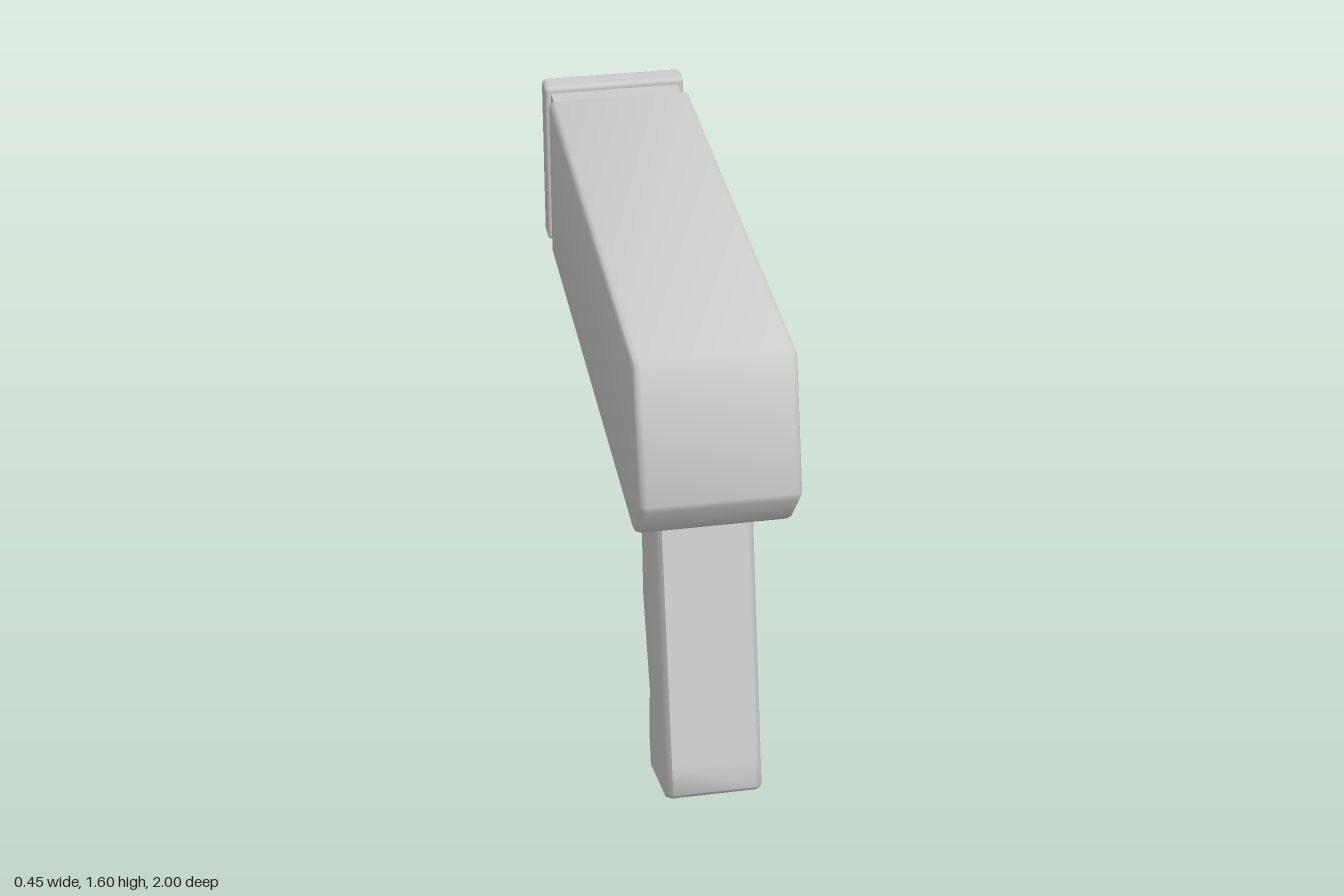
import * as THREE from 'three';
import { toCreasedNormals } from 'three/addons/utils/BufferGeometryUtils.js';
import { RoundedBoxGeometry } from 'three/addons/geometries/RoundedBoxGeometry.js';

const grey = new THREE.MeshStandardMaterial({ color: 0xcccccc });

function part(group, name, geometry) {
  const mesh = new THREE.Mesh(geometry, grey);
  mesh.name = name;
  group.add(mesh);
  return mesh;
}

// Side profile (z, y) extruded across x with softened edges and a flat tail end.
function bodyGeometry() {
  const tail = -0.74, bevel = 0.02, half = 0.225;
  const profile = [
    [tail - 0.04, 1.055], [0.873, 1.055], [0.893, 1.068], [0.995, 1.2], [1.0, 1.222],
    [0.892, 1.585], [0.87, 1.605], [tail - 0.04, 1.605],
  ].map(([z, y]) => new THREE.Vector2(z, y));
  const geo = new THREE.ExtrudeGeometry(new THREE.Shape(profile), {
    depth: 2 * (half - bevel), bevelThickness: bevel, bevelSize: bevel,
    bevelOffset: -bevel, bevelSegments: 2,
  });
  geo.translate(0, 0, -(half - bevel)).rotateY(-Math.PI / 2);
  const pos = geo.attributes.position;
  for (let i = 0; i < pos.count; i++) pos.setZ(i, Math.max(pos.getZ(i), tail));
  return toCreasedNormals(geo, 0.9);
}

// Tilted eight-sided rings, each starting at a point (z, y) of the finger side
// and reaching to the straight palm side.
function gripGeometry() {
  const fingerSide = [
    [0.25, 1.15], [0.27, 1.055], [0.285, 0.985], [0.365, 0.845], [0.39, 0.55],
    [0.505, 0.28], [0.495, 0.11], [0.517, 0.02], [0.52, 0.004],
  ];
  const slope = 0.34, lean = 0.247, n = 8;
  const verts = [], index = [];
  fingerSide.forEach(([z, y], r) => {
    let reach = (0.745 + lean * (1.055 - y) - z) / (1 + slope * lean);
    if (r === fingerSide.length - 1) reach -= 0.018;
    const side = [[0.07, 0], [0.142, 0.15], [0.142, reach - 0.02], [0.125, reach]];
    const ring = [...side, ...side.map(([x, t]) => [-x, t]).reverse()];
    for (const [x, t] of ring) verts.push(x, y + slope * t, z + t);
  });
  for (let r = 0; r < fingerSide.length - 1; r++) {
    for (let i = 0; i < n; i++) {
      const a = r * n + i, b = r * n + (i + 1) % n;
      index.push(a, b, a + n, b, b + n, a + n);
    }
  }
  // flat ends
  const last = (fingerSide.length - 1) * n;
  for (let i = 1; i < n - 1; i++) {
    index.push(0, i + 1, i, last, last + i, last + i + 1);
  }
  // the rings run from the finger side round +x, so flip to face outward
  for (let i = 0; i < index.length; i += 3) {
    [index[i + 1], index[i + 2]] = [index[i + 2], index[i + 1]];
  }
  const geo = new THREE.BufferGeometry();
  geo.setAttribute('position', new THREE.Float32BufferAttribute(verts, 3));
  geo.setIndex(index);
  // make sure the winding points outward
  const p = geo.attributes.position, v = [0, 1, 2].map(() => new THREE.Vector3());
  let volume = 0;
  for (let i = 0; i < index.length; i += 3) {
    v.forEach((q, k) => q.fromBufferAttribute(p, index[i + k]));
    volume += v[0].dot(v[1].clone().cross(v[2]));
  }
  if (volume < 0) geo.setIndex(index.reverse());
  return toCreasedNormals(geo, 0.87);
}

// Box whose rear end (-z) is narrowed.
function nozzleGeometry() {
  const geo = new THREE.BoxGeometry(0.33, 0.415, 0.09);
  const pos = geo.attributes.position;
  for (let i = 0; i < pos.count; i++) {
    if (pos.getZ(i) < 0) pos.setXY(i, pos.getX(i) * 0.84, pos.getY(i) * 0.86);
  }
  return toCreasedNormals(geo, 0.3);
}

export function createModel() {
  const model = new THREE.Group();
  model.name = 'handheldDevice';

  part(model, 'body', bodyGeometry());
  part(model, 'grip', gripGeometry());
  part(model, 'neck', new THREE.BoxGeometry(0.41, 0.505, 0.14)).position.set(0, 1.332, -0.79);
  part(model, 'collar', new RoundedBoxGeometry(0.45, 0.55, 0.08, 2, 0.015)).position.set(0, 1.33, -0.88);
  part(model, 'nozzle', nozzleGeometry()).position.set(0, 1.333, -0.955);

  return model;
}
